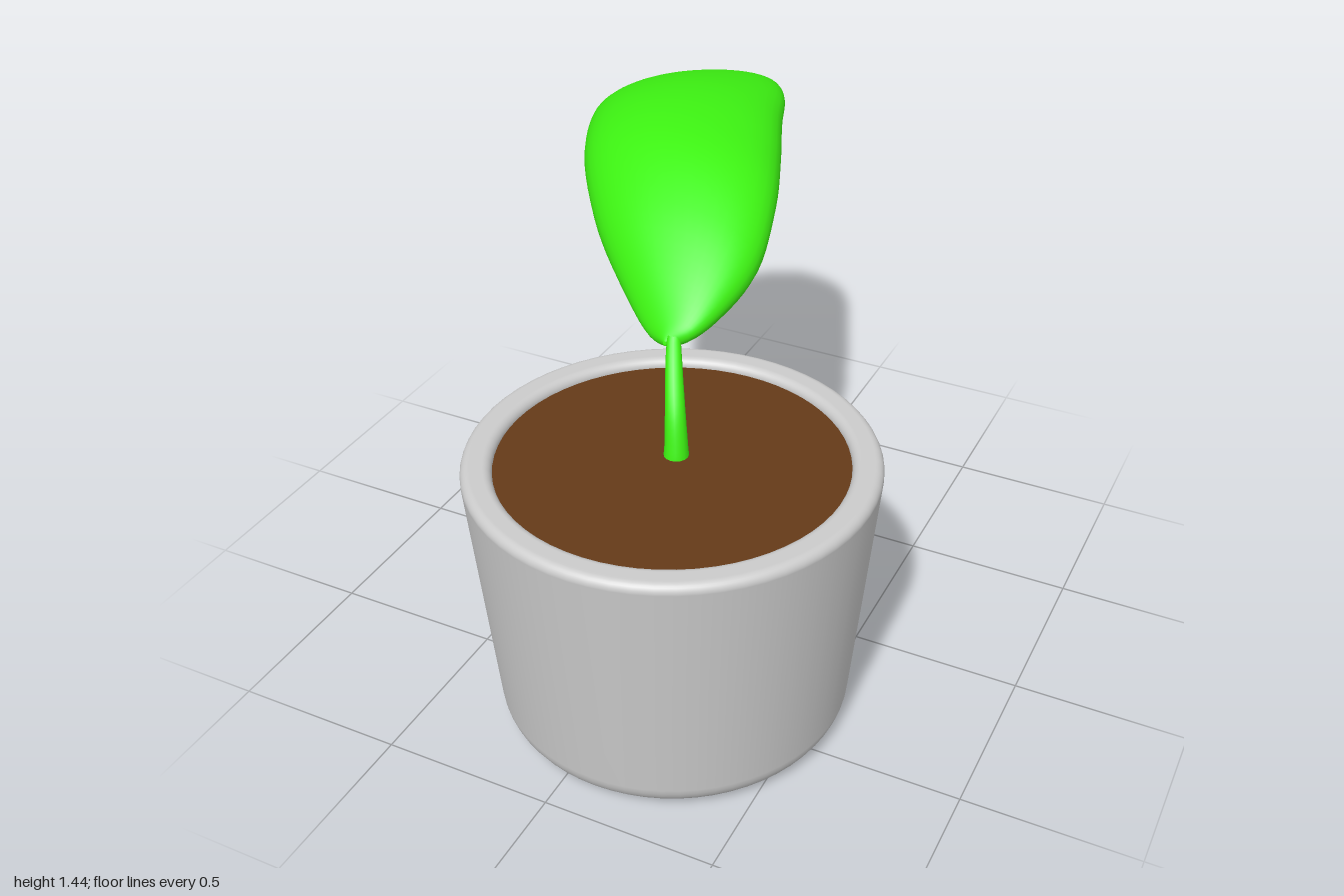
import * as THREE from 'three';

const material = (color) => new THREE.MeshStandardMaterial({ color, side: THREE.DoubleSide });

// Smooth skin over closed rings of equal point count
function loft(rings) {
  const n = rings[0].length;
  const index = [];
  for (let i = 0; i < rings.length - 1; i++) {
    for (let j = 0; j < n; j++) {
      const a = i * n + j, b = i * n + (j + 1) % n;
      index.push(a, a + n, b, b, a + n, b + n);
    }
  }
  const geometry = new THREE.BufferGeometry().setFromPoints(rings.flat());
  geometry.setIndex(index);
  geometry.computeVertexNormals();
  return geometry;
}

function addMesh(parent, name, geometry, mat) {
  const mesh = new THREE.Mesh(geometry, mat);
  mesh.name = name;
  parent.add(mesh);
  return mesh;
}

// Rounded corner of a lathe profile, angles in degrees
function corner(cx, cy, r, from, to, steps = 8) {
  return Array.from({ length: steps + 1 }, (_, i) => {
    const a = THREE.MathUtils.degToRad(from + (to - from) * i / steps);
    return new THREE.Vector2(cx + r * Math.cos(a), cy + r * Math.sin(a));
  });
}

function potGeometry() {
  return new THREE.LatheGeometry([
    new THREE.Vector2(0, 0),
    new THREE.Vector2(0.4, 0),
    ...corner(0.415, 0.085, 0.085, -90, -5),
    ...corner(0.54, 0.795, 0.025, -5, 90),
    ...corner(0.505, 0.795, 0.025, 90, 180),
    new THREE.Vector2(0.48, 0.76),
  ], 64);
}

// Rows from base to tip: z, left x, right x, left y, right y, top y, bottom y
const leafRows = [
  [0.285, 0.005, 0.015, 1.06, 1.06, 1.065, 1.05],
  [0.25, -0.06, 0.08, 1.06, 1.085, 1.11, 1.035],
  [0.15, -0.19, 0.13, 1.12, 1.13, 1.21, 1.045],
  [0, -0.35, 0.155, 1.2, 1.19, 1.32, 1.08],
  [-0.2, -0.5, 0.115, 1.27, 1.27, 1.41, 1.17],
  [-0.4, -0.6, 0.04, 1.285, 1.31, 1.435, 1.21],
  [-0.6, -0.665, -0.045, 1.265, 1.33, 1.42, 1.195],
  [-0.8, -0.645, -0.125, 1.26, 1.33, 1.375, 1.19],
  [-0.92, -0.57, -0.21, 1.26, 1.315, 1.335, 1.21],
  [-0.98, -0.48, -0.3, 1.275, 1.295, 1.305, 1.245],
  [-1, -0.4, -0.39, 1.285, 1.285, 1.287, 1.28],
];

function leafGeometry() {
  const curve = (x, y) => new THREE.CatmullRomCurve3(
    leafRows.map((r) => new THREE.Vector3(r[x] ?? 0, r[y], r[0])));
  const left = curve(1, 3), right = curve(2, 4), heights = curve(5, 6);
  const rings = [];
  const steps = 50;
  for (let i = 0; i <= steps; i++) {
    const l = left.getPoint(i / steps), r = right.getPoint(i / steps);
    const { x: top, y: bottom } = heights.getPoint(i / steps);
    const edgeMid = (l.y + r.y) / 2;
    rings.push(Array.from({ length: 40 }, (_, j) => {
      const a = j / 40 * Math.PI * 2, s = Math.sin(a);
      const p = l.clone().lerp(r, (1 + Math.cos(a)) / 2);
      p.y += s * (s > 0 ? top - edgeMid : edgeMid - bottom);
      return p;
    }));
  }
  return loft(rings);
}

// Tapered stem, sliced horizontally from the leaf down into the soil
function stemGeometry() {
  const path = new THREE.CatmullRomCurve3([
    new THREE.Vector3(0.025, 1.08, 0.26),
    new THREE.Vector3(0.05, 1.02, 0.31),
    new THREE.Vector3(0.083, 0.92, 0.37),
    new THREE.Vector3(0.098, 0.82, 0.395),
    new THREE.Vector3(0.1, 0.77, 0.4),
  ]);
  const rings = [];
  for (let i = 0; i <= 20; i++) {
    const p = path.getPoint(i / 20);
    const r = 0.018 + 0.019 * i / 20;
    rings.push(Array.from({ length: 16 }, (_, j) => {
      const a = j / 16 * Math.PI * 2;
      return new THREE.Vector3(p.x + r * Math.sin(a), p.y, p.z + r * Math.cos(a));
    }));
  }
  return loft(rings);
}

export function createModel() {
  const model = new THREE.Group();
  model.name = 'pottedSeedling';
  const green = material(0x3df212);

  // Pot and soil share one off-centre axis
  const planter = new THREE.Group();
  planter.name = 'planter';
  planter.position.set(0.105, 0, 0.432);
  model.add(planter);
  addMesh(planter, 'pot', potGeometry(), material(0xcccccc));
  const soil = addMesh(planter, 'soil', new THREE.CircleGeometry(0.482, 64), material(0x653a18));
  soil.rotation.x = -Math.PI / 2;
  soil.position.y = 0.795;

  addMesh(model, 'stem', stemGeometry(), green);
  addMesh(model, 'leaf', leafGeometry(), green);
  return model;
}
